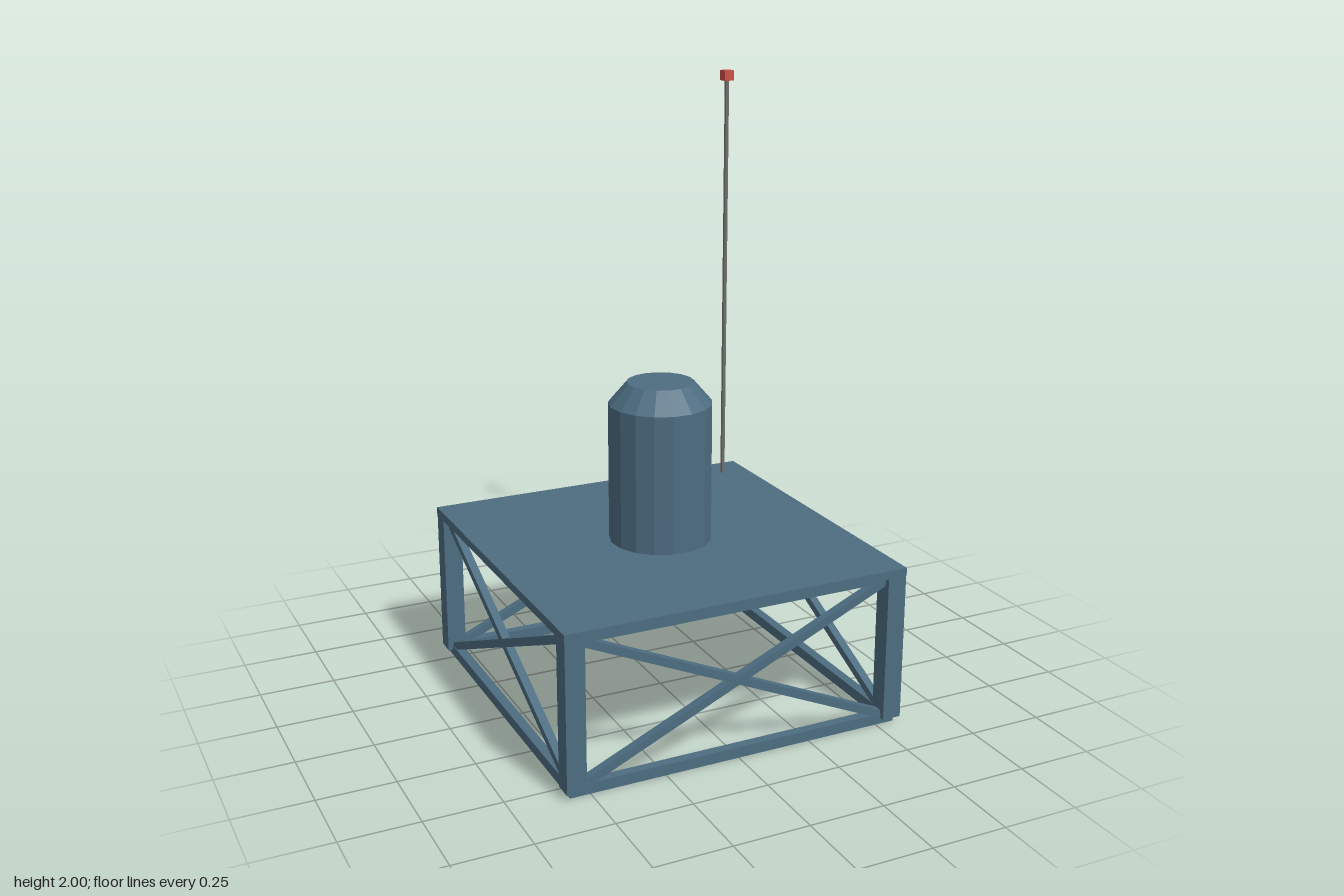
import * as THREE from 'three';

export function createModel() {
  const model = new THREE.Group();
  const steelBlue = new THREE.MeshStandardMaterial({ color: 0x4d6d81 });
  steelBlue.name = 'steel blue';
  const mastGrey = new THREE.MeshStandardMaterial({ color: 0x70706c });
  mastGrey.name = 'mast grey';
  const beaconRed = new THREE.MeshStandardMaterial({ color: 0xcc5045 });
  beaconRed.name = 'beacon red';

  const add = (parent, name, geometry, material, x = 0, y = 0, z = 0) => {
    const mesh = new THREE.Mesh(geometry, material);
    mesh.name = name;
    mesh.position.set(x, y, z);
    parent.add(mesh);
    return mesh;
  };
  const box = (w, h, d) => new THREE.BoxGeometry(w, h, d);
  // Faceted drum with a vertex at the back
  const facetedDrum = (rTop, rBottom, h, sides, open = false) => {
    const g = new THREE.CylinderGeometry(rTop, rBottom, h, sides, 1, open, Math.PI).toNonIndexed();
    g.computeVertexNormals();
    return g;
  };

  // Deck
  const half = 0.55, low = 0.018, high = 0.508;
  add(model, 'deck', box(1.166, 0.028, 1.166), steelBlue, 0, 0.523, 0);

  // Corner legs
  for (const sx of [-1, 1]) for (const sz of [-1, 1])
    add(model, 'leg', box(0.064, 0.492, 0.064), steelBlue, sx * half, 0.266, sz * half);

  // Four trussed sides: lower rail, upper rail and two crossed braces
  const rise = high - low, span = half * 2;
  for (let i = 0; i < 4; i++) {
    const side = new THREE.Group();
    side.name = 'trussSide';
    side.rotation.y = i * Math.PI / 2;
    add(side, 'lowerRail', box(span + 0.03, 0.036, 0.032), steelBlue, 0, low, half);
    add(side, 'upperRail', box(span + 0.03, 0.032, 0.032), steelBlue, 0, high, half);
    for (const s of [-1, 1]) {
      const brace = add(side, 'crossBrace', box(Math.hypot(span, rise), 0.027, 0.027),
        steelBlue, 0, (low + high) / 2, half);
      brace.rotation.z = s * Math.atan2(rise, span);
    }
    model.add(side);
  }

  // Central tower with a tapered cap
  add(model, 'tower', facetedDrum(0.17, 0.17, 0.465, 17, true), steelBlue, 0, 0.7675, 0);
  add(model, 'towerCap', facetedDrum(0.11, 0.17, 0.07, 17), steelBlue, 0, 1.035, 0);

  // Mast and beacon at the back left corner
  add(model, 'mast', facetedDrum(0.008, 0.008, 1.435, 8), mastGrey, 0.487, 1.2525, -0.487);
  add(model, 'beacon', box(0.035, 0.035, 0.035), beaconRed, 0.487, 1.9825, -0.487);

  return model;
}
